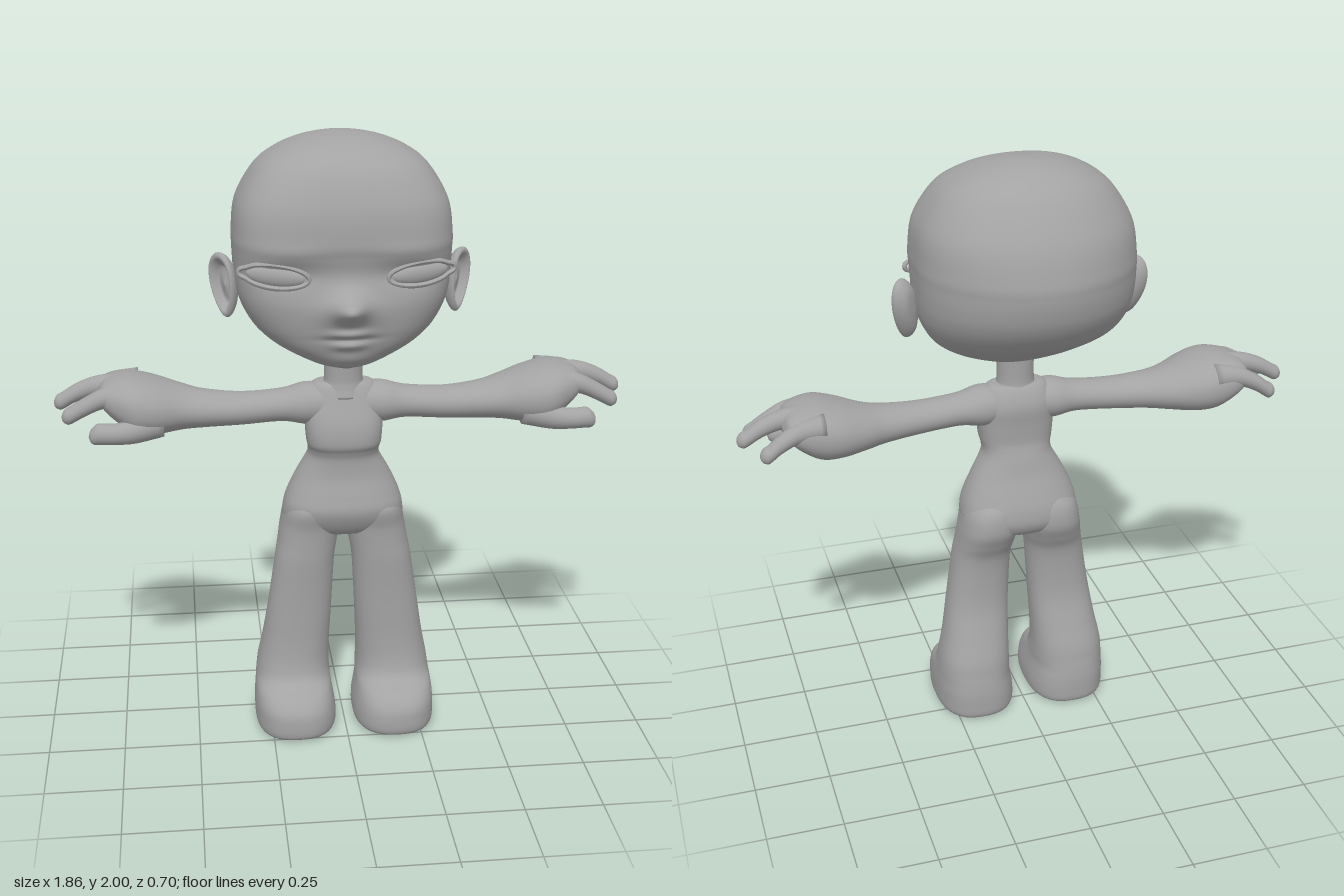
import * as THREE from 'three';

const skin = new THREE.MeshStandardMaterial({ color: 0xa3a3a3 });
skin.name = 'clay grey';

// Flips the faces of an indexed solid if they point inward, then smooths it
function finish(geo) {
  const p = geo.attributes.position, ix = geo.index.array;
  const [a, b, c] = [0, 1, 2].map(() => new THREE.Vector3());
  let volume = 0;
  for (let i = 0; i < ix.length; i += 3) {
    a.fromBufferAttribute(p, ix[i]);
    b.fromBufferAttribute(p, ix[i + 1]);
    c.fromBufferAttribute(p, ix[i + 2]);
    volume += a.dot(b.cross(c));
  }
  if (volume < 0) for (let i = 0; i < ix.length; i += 3) [ix[i], ix[i + 1]] = [ix[i + 1], ix[i]];
  geo.computeVertexNormals();
  return geo;
}

// Smooth closed body through stations [t, a0, a1, b0, b1, nFront, nBack].
// axis 'y': a = x, b = z;  axis 'x': a = y, b = z. n is the squareness of the section.
function loft(axis, stations, sides = 40, steps = 6, rule = null) {
  const full = stations.map(s => [...s.slice(0, 5), s[5] ?? 2, s[6] ?? s[5] ?? 2]);
  const spline = new THREE.CubicInterpolant(
    Float32Array.from(full.keys()), Float32Array.from(full.flat()), 7);
  const pos = [], idx = [], rows = (full.length - 1) * steps;
  const add = (t, a, b) => {
    const v = axis === 'y' ? new THREE.Vector3(a, t, b) : new THREE.Vector3(t, a, b);
    if (rule) rule(v);
    pos.push(v.x, v.y, v.z);
  };
  for (let r = 0; r <= rows; r++) {
    const [t, a0, a1, b0, b1, nf, nb] = spline.evaluate(r / steps);
    for (let k = 0; k < sides; k++) {
      const c = Math.cos(k / sides * Math.PI * 2), s = Math.sin(k / sides * Math.PI * 2);
      const n = s >= 0 ? nf : nb;
      const q = Math.pow(Math.abs(c) ** n + Math.abs(s) ** n, -1 / n);
      add(t, (a0 + a1) / 2 + (a1 - a0) / 2 * c * q, (b0 + b1) / 2 + (b1 - b0) / 2 * s * q);
      if (r < rows) {
        const i = r * sides + k, j = r * sides + (k + 1) % sides;
        idx.push(i, j, i + sides, j, j + sides, i + sides);
      }
    }
  }
  // End caps
  for (const [r, s] of [[0, full[0]], [rows, full[full.length - 1]]]) {
    const centre = pos.length / 3;
    add(s[0], (s[1] + s[2]) / 2, (s[3] + s[4]) / 2);
    for (let k = 0; k < sides; k++) {
      const i = r * sides + k, j = r * sides + (k + 1) % sides;
      if (r) idx.push(i, j, centre); else idx.push(j, i, centre);
    }
  }
  const geo = new THREE.BufferGeometry();
  geo.setAttribute('position', new THREE.Float32BufferAttribute(pos, 3));
  geo.setIndex(idx);
  return finish(geo);
}

// Body symmetric about x = 0 from stations [y, halfWidth, zBack, zFront, nFront, nBack]
const symmetric = list => list.map(([y, w, ...rest]) => [y, -w, w, ...rest]);

// Round-tipped finger through [x, y, z, radius]
function finger(points) {
  const [x, y, z, r] = points[points.length - 1];
  const tip = [[0.5, 0.86], [0.85, 0.52], [1, 0.05]].map(([d, f]) => [x + d * r, y - d * r * 0.25, z, r * f]);
  return loft('x', [...points, ...tip].map(([px, py, pz, pr]) => [px, py - pr, py + pr, pz - pr, pz + pr]), 20, 5);
}

// Soft bumps pressed into the face: [x, y, amount, spreadX, spreadY]
const features = [
  [0, 1.505, 0.055, 0.04, 0.032], [0, 1.49, 0.035, 0.075, 0.05],
  [0, 1.417, 0.02, 0.05, 0.012], [0, 1.378, 0.018, 0.042, 0.013],
  [0, 1.398, -0.006, 0.07, 0.006], [0, 1.325, 0.008, 0.06, 0.02],
  [0.2, 1.595, -0.014, 0.075, 0.03], [-0.2, 1.595, -0.014, 0.075, 0.03],
  [0.18, 1.665, 0.006, 0.1, 0.025], [-0.18, 1.665, 0.006, 0.1, 0.025],
];
function shapeFace(v) {
  if (v.z < 0.08) return;
  const fade = Math.min(1, (v.z - 0.08) / 0.08);
  let dz = 0;
  for (const [x, y, amount, sx, sy] of features)
    dz += amount * Math.exp(-(((v.x - x) / sx) ** 2 + ((v.y - y) / sy) ** 2) / 1.4);
  v.z += dz * fade;
}

export function createModel() {
  const model = new THREE.Group();
  model.name = 'figure';
  const add = (name, geo) => {
    const mesh = new THREE.Mesh(geo, skin);
    mesh.name = name;
    model.add(mesh);
  };
  const pair = (name, geo) => {
    add(name + 'Left', geo);
    add(name + 'Right', finish(geo.clone().scale(-1, 1, 1)));
  };

  // Head with sculpted face
  add('head', loft('y', symmetric([
    [1.284, 0.02, 0.13, 0.19, 2], [1.3, 0.105, 0.04, 0.215, 2.1, 2],
    [1.35, 0.21, -0.07, 0.245, 2.4, 2], [1.4, 0.275, -0.16, 0.258, 2.7, 2],
    [1.45, 0.312, -0.24, 0.265, 3, 2], [1.5, 0.333, -0.29, 0.267, 3.3, 2],
    [1.55, 0.342, -0.322, 0.262, 3.6, 2], [1.6, 0.345, -0.338, 0.258, 3.8, 2],
    [1.65, 0.347, -0.345, 0.267, 3.8, 2], [1.7, 0.347, -0.342, 0.276, 3.7, 2.05],
    [1.8, 0.333, -0.312, 0.265, 3.4, 2.1], [1.9, 0.275, -0.25, 0.22, 3, 2.1],
    [1.95, 0.21, -0.2, 0.163, 2.7, 2.1], [1.98, 0.138, -0.145, 0.1, 2.4, 2.1],
    [1.995, 0.068, -0.09, 0.03, 2.1, 2], [2, 0.004, -0.035, -0.027, 2, 2],
  ]), 200, 8, shapeFace));

  // Eyeballs and eyelid rims
  const placeEye = geo => geo.rotateZ(0.09).rotateY(0.24).translate(0.222, 1.595, 0.222);
  pair('eye', finish(placeEye(new THREE.SphereGeometry(1, 32, 20).scale(0.094, 0.034, 0.024))));
  const rim = Array.from({ length: 24 }, (_, i) => {
    const a = i / 24 * Math.PI * 2, c = Math.cos(a), s = Math.sin(a);
    return new THREE.Vector3(0.104 * c + (c > 0.95 ? 0.012 : 0), (s > 0 ? 0.038 : 0.034) * s, 0.018 - 0.016 * c * c);
  });
  pair('eyelid', finish(placeEye(new THREE.TubeGeometry(new THREE.CatmullRomCurve3(rim, true), 72, 0.008, 8, true))));

  // Cupped ears, narrower at the lobe
  const cup = [[0, -0.04], [0.6, -0.034], [0.88, -0.018], [1, 0], [0.95, 0.011], [0.84, 0.012],
    [0.72, 0.002], [0.55, -0.012], [0.3, -0.01], [0, -0.004]];
  const earCurve = new THREE.SplineCurve(cup.map(([r, h]) => new THREE.Vector2(r, h)));
  const earProfile = earCurve.getPoints(36).map(p => new THREE.Vector2(Math.max(0, p.x), p.y));
  const ear = new THREE.LatheGeometry(earProfile, 40).rotateX(Math.PI / 2);
  const ep = ear.attributes.position;
  for (let i = 0; i < ep.count; i++) ep.setX(i, ep.getX(i) * (0.88 + 0.22 * ep.getY(i)));
  pair('ear', finish(ear.scale(0.058, 0.104, 1).rotateZ(-0.2).rotateY(0.86).translate(0.377, 1.527, 0.036)));

  // Neck
  add('neck', loft('y', symmetric([
    [1.17, 0.085, 0.01, 0.155], [1.205, 0.068, 0.022, 0.145], [1.24, 0.062, 0.027, 0.142], [1.36, 0.064, 0.025, 0.145],
  ]), 32));

  // Torso and hips
  add('torso', loft('y', symmetric([
    [1.217, 0.05, 0.05, 0.11], [1.208, 0.1, 0.02, 0.135, 2.3], [1.15, 0.122, -0.005, 0.16, 2.6],
    [1.08, 0.126, -0.002, 0.185, 2.7], [1.02, 0.122, 0, 0.189, 2.7], [0.99, 0.116, -0.006, 0.175, 2.6],
    [0.96, 0.121, -0.015, 0.166, 2.5], [0.9, 0.154, -0.032, 0.168, 2.4], [0.84, 0.182, -0.056, 0.184, 2.4],
    [0.79, 0.197, -0.072, 0.193, 2.5], [0.74, 0.198, -0.074, 0.176, 2.5],
    [0.7, 0.16, -0.05, 0.145, 2.3], [0.682, 0.07, 0, 0.1],
  ]), 56));

  // Legs flaring into the shoes
  pair('leg', loft('y', [
    [0.84, 0.03, 0.14, -0.03, 0.14], [0.79, 0.014, 0.19, -0.068, 0.178, 2.3],
    [0.72, 0.012, 0.207, -0.075, 0.167, 2.4], [0.66, 0.02, 0.217, -0.052, 0.164, 2.4],
    [0.6, 0.03, 0.228, -0.027, 0.163, 2.4], [0.5, 0.036, 0.243, -0.02, 0.157, 2.4],
    [0.4, 0.041, 0.258, -0.027, 0.154, 2.4], [0.3, 0.046, 0.274, -0.055, 0.154, 2.4],
    [0.22, 0.048, 0.29, -0.08, 0.162, 2.4], [0.17, 0.046, 0.297, -0.089, 0.185, 2.4],
    [0.135, 0.043, 0.301, -0.095, 0.245, 2.5], [0.1, 0.037, 0.304, -0.099, 0.274, 2.6],
    [0.06, 0.031, 0.305, -0.1, 0.282, 2.6], [0.02, 0.032, 0.303, -0.098, 0.28, 2.6],
    [0.004, 0.045, 0.29, -0.085, 0.265, 2.6], [0, 0.07, 0.265, -0.06, 0.24, 2.6],
  ], 48));

  // Arms with palms
  pair('arm', loft('x', [
    [0.02, 1.08, 1.2, 0.015, 0.145], [0.12, 1.072, 1.209, 0.006, 0.155], [0.2, 1.083, 1.19, 0.016, 0.143],
    [0.33, 1.075, 1.181, 0.01, 0.143], [0.45, 1.068, 1.19, -0.017, 0.146], [0.52, 1.062, 1.206, -0.05, 0.158],
    [0.6, 1.055, 1.231, -0.081, 0.19, 2.2], [0.67, 1.06, 1.247, -0.09, 0.198, 2.3],
    [0.73, 1.1, 1.243, -0.088, 0.17, 2.4], [0.77, 1.14, 1.228, -0.07, 0.14, 2.3], [0.788, 1.17, 1.2, -0.02, 0.09],
  ], 40));

  // Fingers and thumbs
  const fingers = {
    thumb: [[0.58, 1.105, 0.13, 0.045], [0.67, 1.092, 0.165, 0.04], [0.73, 1.088, 0.178, 0.034], [0.782, 1.09, 0.178, 0.034]],
    indexFinger: [[0.68, 1.19, 0.115, 0.04], [0.76, 1.19, 0.118, 0.034], [0.82, 1.165, 0.116, 0.031], [0.873, 1.135, 0.113, 0.029]],
    middleFinger: [[0.68, 1.205, 0.035, 0.04], [0.78, 1.205, 0.028, 0.033], [0.85, 1.185, 0.024, 0.03], [0.903, 1.155, 0.022, 0.028]],
    littleFinger: [[0.66, 1.195, -0.045, 0.042], [0.74, 1.19, -0.056, 0.034], [0.8, 1.165, -0.063, 0.031], [0.842, 1.135, -0.067, 0.029]],
  };
  for (const [name, points] of Object.entries(fingers)) pair(name, finger(points));

  return model;
}
